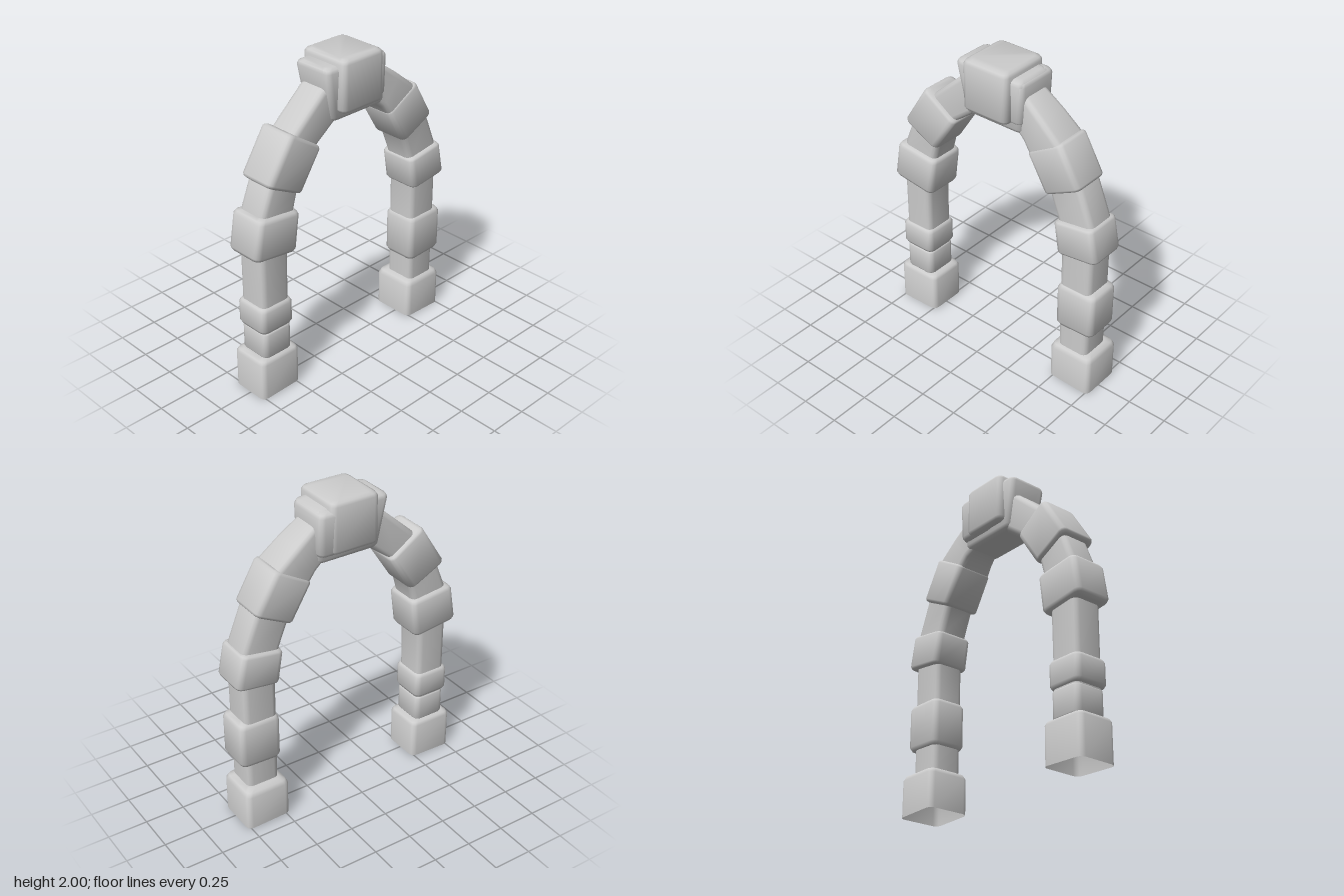
import * as THREE from 'three';
import { toCreasedNormals } from 'three/addons/utils/BufferGeometryUtils.js';

const material = new THREE.MeshStandardMaterial({ color: 0xcccccc, side: THREE.DoubleSide });

// A section is [outer z, outer y, inner z, inner y, min x, max x]; its corners are rounded by r.
function sectionPoints([zo, yo, zi, yi, x0, x1], side, r) {
  const outer = new THREE.Vector2(zo, yo), inner = new THREE.Vector2(zi, yi);
  const depth = outer.distanceTo(inner), pts = [];
  const corners = [[depth - r, x1 - r], [r, x1 - r], [r, x0 + r], [depth - r, x0 + r]];
  corners.forEach(([u, x], c) => {
    for (let k = 0; k < 4; k++) {
      const a = (c + k / 3) * Math.PI / 2;
      const p = inner.clone().lerp(outer, (u + r * Math.cos(a)) / depth);
      pts.push(new THREE.Vector3(x + r * Math.sin(a), p.y, side * p.x));
    }
  });
  return side < 0 ? pts.reverse() : pts;
}

// Skin a row of sections from bottom to top.
function loft(name, sections, side, { r = 0.035, openBottom = false, crease = 0.9 } = {}) {
  const rings = sections.map(s => sectionPoints(s, side, r));
  const n = rings[0].length, verts = rings.flat(), index = [];
  for (let j = 0; j < rings.length - 1; j++) {
    for (let i = 0; i < n; i++) {
      const a = j * n + i, b = j * n + (i + 1) % n;
      index.push(a, b, b + n, a, b + n, a + n);
    }
  }
  const top = (rings.length - 1) * n;
  for (let i = 1; i < n - 1; i++) {
    index.push(top, top + i, top + i + 1);
    if (!openBottom) index.push(0, i + 1, i);
  }
  const geo = new THREE.BufferGeometry().setFromPoints(verts);
  geo.setIndex(index);
  const mesh = new THREE.Mesh(toCreasedNormals(geo, crease), material);
  mesh.name = name;
  return mesh;
}

// Pull a section in on all four sides.
function inset([zo, yo, zi, yi, x0, x1], b) {
  const d = Math.hypot(zo - zi, yo - yi), dz = (zo - zi) / d * b, dy = (yo - yi) / d * b;
  return [zo - dz, yo - dy, zi + dz, yi + dy, x0 + b, x1 - b];
}
const mix = (a, b, t) => a.map((v, i) => v + (b[i] - v) * t);

// A stone with softened ends between two sections.
function stone(name, low, high, side, { bevel = 0.03, openBottom = false } = {}) {
  const length = Math.hypot(low[0] + low[2] - high[0] - high[2], low[1] + low[3] - high[1] - high[3]) / 2;
  const t = bevel / length;
  const upper = [
    mix(low, high, 1 - t),
    inset(mix(low, high, 1 - t * 0.35), bevel * 0.3),
    inset(high, bevel),
  ];
  const lower = openBottom ? [low] : [
    inset(low, bevel),
    inset(mix(low, high, t * 0.35), bevel * 0.3),
    mix(low, high, t),
  ];
  return loft(name, [...lower, ...upper], side, { openBottom });
}

export function createModel() {
  const model = new THREE.Group();
  model.name = 'stoneArch';
  const X = [-0.11, 0.093], W = [-0.135, 0.12], N = [-0.125, 0.11];

  // Front leg
  const front = new THREE.Group();
  front.name = 'frontLeg';
  front.add(
    loft('frontShaft', [
      [0.725, 0.25, 0.52, 0.25, ...X],
      [0.725, 0.65, 0.52, 0.65, ...X],
      [0.725, 0.95, 0.515, 0.95, ...X],
      [0.715, 1.19, 0.465, 1.16, ...X],
      [0.635, 1.39, 0.435, 1.27, ...X],
      [0.46, 1.63, 0.285, 1.51, ...X],
      [0.235, 1.83, 0.15, 1.61, ...X],
      [0.1, 1.87, 0.08, 1.64, ...X],
    ], 1),
    stone('frontBase', [0.77, 0, 0.475, 0.01, -0.14, 0.12], [0.77, 0.27, 0.475, 0.27, -0.14, 0.12], 1, { openBottom: true }),
    stone('frontNeck', [0.728, 0.26, 0.515, 0.26, -0.115, 0.1], [0.728, 0.44, 0.515, 0.44, -0.115, 0.1], 1, { bevel: 0.015 }),
    stone('frontLowStone', [0.745, 0.435, 0.505, 0.435, ...N], [0.745, 0.62, 0.505, 0.62, ...N], 1),
    stone('frontMiddleStone', [0.785, 0.95, 0.475, 0.91, ...W], [0.742, 1.21, 0.44, 1.175, ...W], 1),
    stone('frontHighStone', [0.675, 1.39, 0.43, 1.265, ...W], [0.5, 1.665, 0.27, 1.51, ...W], 1, { bevel: 0.02 }),
  );

  // Back leg, with its own slightly different stones
  const back = new THREE.Group();
  back.name = 'backLeg';
  back.add(
    loft('backShaft', [
      [0.725, 0.25, 0.515, 0.25, ...X],
      [0.73, 0.75, 0.51, 0.75, ...X],
      [0.73, 0.97, 0.51, 0.97, ...X],
      [0.72, 1.2, 0.475, 1.17, ...X],
      [0.635, 1.41, 0.415, 1.32, ...X],
      [0.5, 1.65, 0.275, 1.53, -0.125, 0.115],
      [0.36, 1.765, 0.23, 1.585, -0.12, 0.105],
      [0.23, 1.86, 0.18, 1.62, ...X],
      [0.1, 1.88, 0.08, 1.65, ...X],
    ], -1),
    stone('backBase', [0.77, 0, 0.475, 0.01, -0.165, 0.12], [0.77, 0.27, 0.475, 0.27, -0.165, 0.12], -1, { openBottom: true, bevel: 0.04 }),
    stone('backLowStone', [0.77, 0.42, 0.5, 0.41, ...N], [0.77, 0.73, 0.5, 0.73, ...N], -1, { bevel: 0.035 }),
    stone('backMiddleStone', [0.78, 0.98, 0.5, 0.945, ...W], [0.735, 1.2, 0.465, 1.16, ...W], -1, { bevel: 0.02 }),
    stone('backHighStone', [0.645, 1.425, 0.405, 1.305, ...W], [0.5, 1.675, 0.265, 1.54, ...W], -1, { bevel: 0.02 }),
  );

  // Crown: a collar around the joint with the keystone on top
  const crown = new THREE.Group();
  crown.name = 'crown';
  crown.add(
    stone('collar', [0.185, 1.62, -0.23, 1.62, -0.125, 0.11], [0.245, 1.96, -0.235, 1.955, -0.145, 0.13], 1),
    stone('collarBack', [0.05, 1.67, -0.235, 1.67, -0.16, 0.12], [0.05, 1.95, -0.24, 1.95, -0.17, 0.125], 1),
    stone('keystone', [0.155, 1.675, -0.165, 1.675, -0.172, 0.17], [0.155, 2, -0.165, 2, -0.172, 0.17], 1, { bevel: 0.028 }),
  );

  model.add(front, back, crown);
  return model;
}
